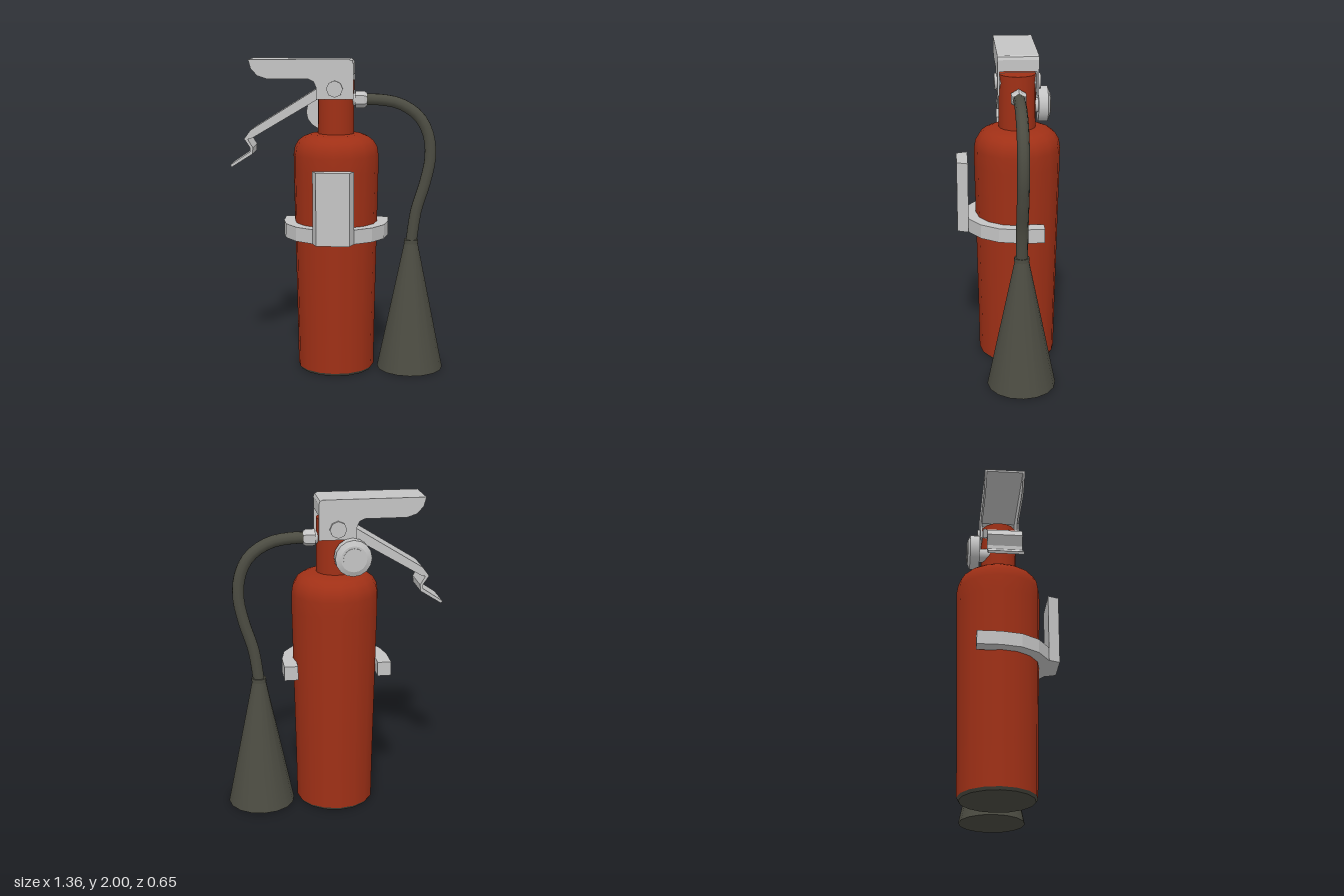
import * as THREE from 'three';

const AX = -0.018, AZ = -0.057; // axis of the tank

export function createModel() {
  const group = new THREE.Group();
  const mat = (name, color) => {
    const m = new THREE.MeshStandardMaterial({ color });
    m.name = name;
    return m;
  };
  const red = mat('red paint', 0xa03016);
  const steel = mat('grey metal', 0xc4c4c4);
  const dark = mat('dark rubber', 0x4c4c42);

  const add = (name, geo, material, x = 0, y = 0, z = 0) => {
    const mesh = new THREE.Mesh(geo, material);
    mesh.name = name;
    mesh.position.set(x, y, z);
    group.add(mesh);
    return mesh;
  };
  const lathe = (pts, n = 16) =>
    new THREE.LatheGeometry(pts.map(([r, y]) => new THREE.Vector2(r, y)), n);
  const prism = (pts, depth) => new THREE.ExtrudeGeometry(
    new THREE.Shape(pts.map(([x, y]) => new THREE.Vector2(x, y))),
    { depth, bevelEnabled: false });
  // plan outline given as (x, -z), raised along y
  const plan = (pts, height) => prism(pts, height).rotateX(-Math.PI / 2);

  // Tank, with a dark base and a narrow neck
  add('tank', lathe([[0.246, 0.018], [0.25, 0.3], [0.27, 1.3], [0.27, 1.4], [0.262, 1.45],
    [0.238, 1.49], [0.205, 1.515], [0.165, 1.53], [0.1, 1.535]]), red, AX, 0, AZ);
  add('tankBase', new THREE.CylinderGeometry(0.246, 0.234, 0.018, 16), dark, AX, 0.009, AZ);
  add('neck', new THREE.CylinderGeometry(0.115, 0.115, 0.35, 16), red, AX, 1.695, AZ);

  // Upper handle: a folded channel open below
  const cheek = [[-0.555, 2], [-0.54, 1.945], [-0.5, 1.9], [-0.44, 1.88], [-0.18, 1.88],
    [-0.15, 1.865], [-0.135, 1.83], [-0.135, 1.755], [0.096, 1.755], [0.096, 1.975],
    [0.088, 1.993], [0.072, 2]];
  for (const z of [0.058, -0.182]) add('handleCheek', prism(cheek, 0.012), steel, 0, 0, z);
  add('handleTop', prism([[-0.555, 2], [-0.552, 1.988], [0.068, 1.988], [0.084, 1.972],
    [0.084, 1.905], [0.096, 1.905], [0.096, 1.975], [0.088, 1.993], [0.072, 2]], 0.232),
    steel, 0, 0, -0.172);

  // Pivot pin through both cheeks
  add('pivotPin', new THREE.CylinderGeometry(0.052, 0.052, 0.285, 8).rotateX(Math.PI / 2),
    steel, -0.02, 1.82, AZ);

  // Lower squeeze lever with a kinked tip
  add('lever', prism([[-0.1, 1.84], [-0.55, 1.56], [-0.59, 1.505], [-0.553, 1.45],
    [-0.553, 1.425], [-0.68, 1.34], [-0.672, 1.325], [-0.538, 1.41], [-0.535, 1.45],
    [-0.567, 1.503], [-0.54, 1.51], [-0.1, 1.77]], 0.215), steel, 0, 0, -0.165);

  // Pressure gauge on the back of the neck
  const gauge = new THREE.Group();
  gauge.name = 'gauge';
  gauge.position.set(-0.105, 1.655, 0);
  const gaugePart = (name, r0, r1, zFront, zBack) => {
    const m = add(name, new THREE.CylinderGeometry(r1, r0, zFront - zBack, 16)
      .rotateX(-Math.PI / 2), steel, 0, 0, (zFront + zBack) / 2);
    gauge.add(m);
    return m;
  };
  gaugePart('gaugeCase', 0.112, 0.112, -0.19, -0.25);
  gaugePart('gaugeRim', 0.112, 0.08, -0.25, -0.265);
  gaugePart('gaugeFace', 0.066, 0.066, -0.265, -0.27);
  gaugePart('gaugeStem', 0.045, 0.045, -0.1, -0.19).position.x = 0.035;
  group.add(gauge);

  // Hex fitting for the hose
  const hex = (name, r0, r1, x0, x1) => add(name,
    new THREE.CylinderGeometry(r1, r0, x1 - x0, 6).toNonIndexed().rotateZ(-Math.PI / 2)
      .rotateX(Math.PI / 2), steel, (x0 + x1) / 2, 1.747, AZ)
    .geometry.computeVertexNormals();
  hex('hoseNut', 0.053, 0.053, 0.105, 0.16);
  hex('hoseNutEnd', 0.053, 0.042, 0.16, 0.178);
  add('hosePort', new THREE.CylinderGeometry(0.04, 0.04, 0.06, 12).rotateZ(Math.PI / 2),
    steel, 0.085, 1.747, AZ);

  // Hose and discharge horn
  const path = new THREE.CatmullRomCurve3([[0.15, 1.748], [0.25, 1.747], [0.385, 1.722],
    [0.505, 1.642], [0.565, 1.53], [0.58, 1.385], [0.55, 1.225], [0.495, 1.04], [0.465, 0.83]]
    .map(([x, y]) => new THREE.Vector3(x, y, AZ)));
  add('hose', new THREE.TubeGeometry(path, 24, 0.037, 10), dark);
  add('hornCollar', new THREE.CylinderGeometry(0.046, 0.046, 0.026, 16), dark, 0.465, 0.838, AZ);
  add('horn', new THREE.CylinderGeometry(0.043, 0.213, 0.83, 16), dark, 0.465, 0.415, AZ);

  // Mounting bracket: half ring with straight arms, and a tapered front plate
  const arc = (r) => Array.from({ length: 9 }, (_, i) => {
    const a = (i * Math.PI) / 8;
    return [r * Math.cos(a), -r * Math.sin(a)];
  });
  const band = [[0.335, 0.153], ...arc(0.335), [-0.335, 0.153], [-0.25, 0.153],
    ...arc(0.25).reverse(), [0.25, 0.153]];
  add('bracketBand', plan(band, 0.09), steel, AX, 0.88, AZ);
  add('bracketPlate', plan([[-0.128, -0.255], [-0.102, -0.325], [0.102, -0.325],
    [0.128, -0.255]], 0.453), steel, AX, 0.88, 0);

  return group;
}
